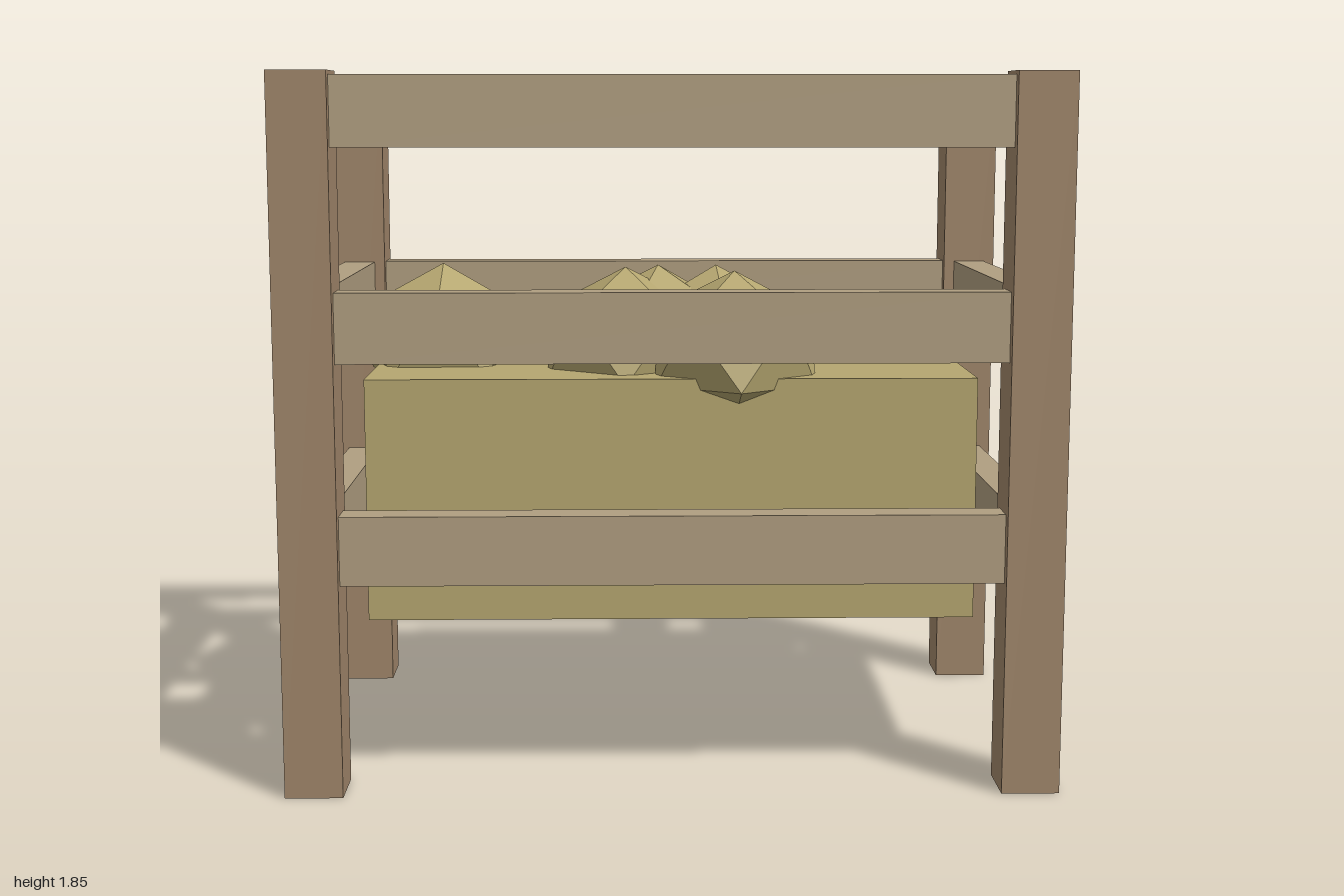
import * as THREE from 'three';

const material = (color) => new THREE.MeshStandardMaterial({ color, flatShading: true });

export function createModel() {
  const group = new THREE.Group();
  const postWood = material(0xa0866a);
  const railWood = material(0xb09e80);
  const hay = material(0xb5a670);

  function addBox(name, size, position, mat) {
    const mesh = new THREE.Mesh(new THREE.BoxGeometry(...size), mat);
    mesh.position.set(...position);
    mesh.name = name;
    group.add(mesh);
  }

  // Corner posts
  for (const x of [-0.925, 0.925])
    for (const z of [-0.555, 0.555])
      addBox('cornerPost', [0.15, 1.85, 0.15], [x, 0.925, z], postWood);

  // Three tiers of rails, fitted between the posts
  for (const y of [0.64, 1.21, 1.75])
    for (const s of [-1, 1]) {
      addBox(s > 0 ? 'frontRail' : 'backRail', [1.7, 0.18, 0.09], [0, y, s * 0.555], railWood);
      addBox(s > 0 ? 'leftRail' : 'rightRail', [0.09, 0.18, 0.96], [s * 0.925, y, 0], railWood);
    }

  // Block of hay
  addBox('hayBlock', [1.6, 0.64, 0.87], [0, 0.74, 0], hay);

  // Flattened icosahedron tufts with one corner upward: x, z, turn in degrees
  const tilt = -Math.atan(2 / (1 + Math.sqrt(5)));
  const tufts = [
    [-0.63, -0.02, 18],
    [-0.12, 0.13, 54],
    [-0.03, 0.055, 38],
    [0.13, 0.06, 13],
    [0.17, 0.275, 52],
  ];
  for (const [x, z, turn] of tufts) {
    const geometry = new THREE.IcosahedronGeometry(1, 0);
    geometry.rotateZ(tilt);
    geometry.rotateY(-THREE.MathUtils.degToRad(turn));
    geometry.scale(0.25, 0.207, 0.26);
    const tuft = new THREE.Mesh(geometry, hay);
    tuft.position.set(x, 1.123, z);
    tuft.name = 'hayTuft';
    group.add(tuft);
  }

  return group;
}
